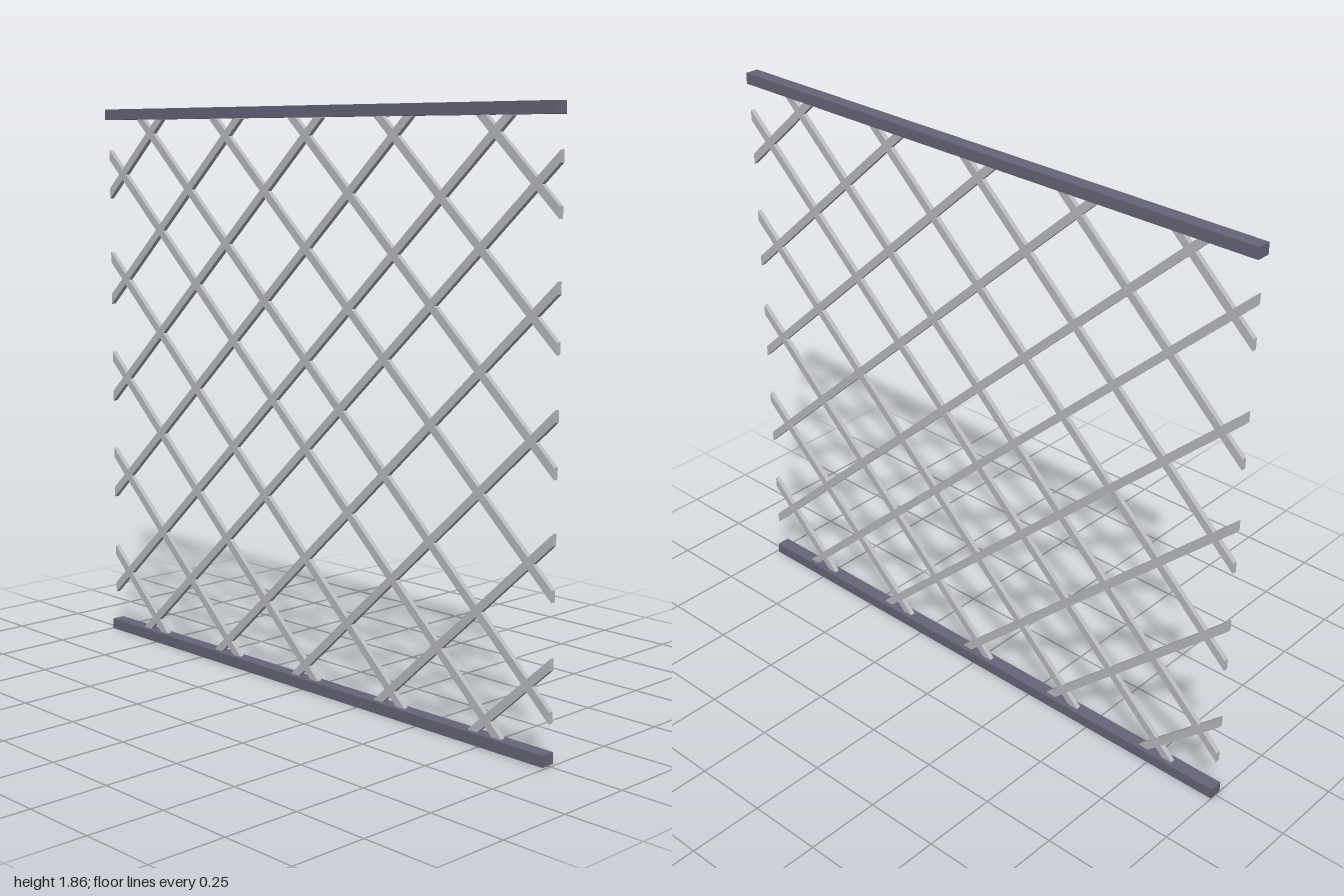
import * as THREE from 'three';

export function createModel() {
  const model = new THREE.Group();
  const railMat = new THREE.MeshStandardMaterial({ color: 0x69657a });
  railMat.name = 'dark rail';
  const barMat = new THREE.MeshStandardMaterial({ color: 0xbcbdc4 });
  barMat.name = 'grey bar';

  // horizontal rails along the top and bottom
  const railH = 0.036, top = 1.862;
  for (const [name, y] of [['bottomRail', railH / 2], ['topRail', top - railH / 2]]) {
    const rail = new THREE.Mesh(new THREE.BoxGeometry(0.046, railH, 1.99), railMat);
    rail.name = name;
    rail.position.set(0, y, -0.004);
    model.add(rail);
  }

  // diagonal bars: height of each where it passes the middle of the lattice
  const slope = 0.925, width = 0.026, depth = 0.016, middle = -0.004;
  const heights = [2.489, 2.118, 1.771, 1.422, 1.07, 0.787, 0.431, 0.078, -0.27, -0.628];
  const half = (width / 2) * Math.hypot(1, slope); // half of the vertical thickness
  const low = 0.021, high = top - low; // bar ends stay hidden inside the rails

  const addBar = (y0, dir, name) => {
    const m = slope * dir;
    const heightAt = (z) => y0 + m * (z - middle);
    const za = middle + (low - y0) / m, zb = middle + (high - y0) / m;
    const z0 = Math.max(-0.996, Math.min(za, zb));
    const z1 = Math.min(0.998, Math.max(za, zb));
    const shape = new THREE.Shape([
      new THREE.Vector2(z0, heightAt(z0) - half),
      new THREE.Vector2(z1, heightAt(z1) - half),
      new THREE.Vector2(z1, heightAt(z1) + half),
      new THREE.Vector2(z0, heightAt(z0) + half),
    ]);
    const geo = new THREE.ExtrudeGeometry(shape, { depth, bevelEnabled: false });
    geo.translate(0, 0, -depth / 2);
    geo.rotateY(-Math.PI / 2); // shape x becomes z
    const bar = new THREE.Mesh(geo, barMat);
    bar.name = name;
    model.add(bar);
  };

  heights.forEach((y0, i) => {
    addBar(y0, 1, `risingBar${i + 1}`);
    addBar(y0, -1, `fallingBar${i + 1}`);
  });
  return model;
}
